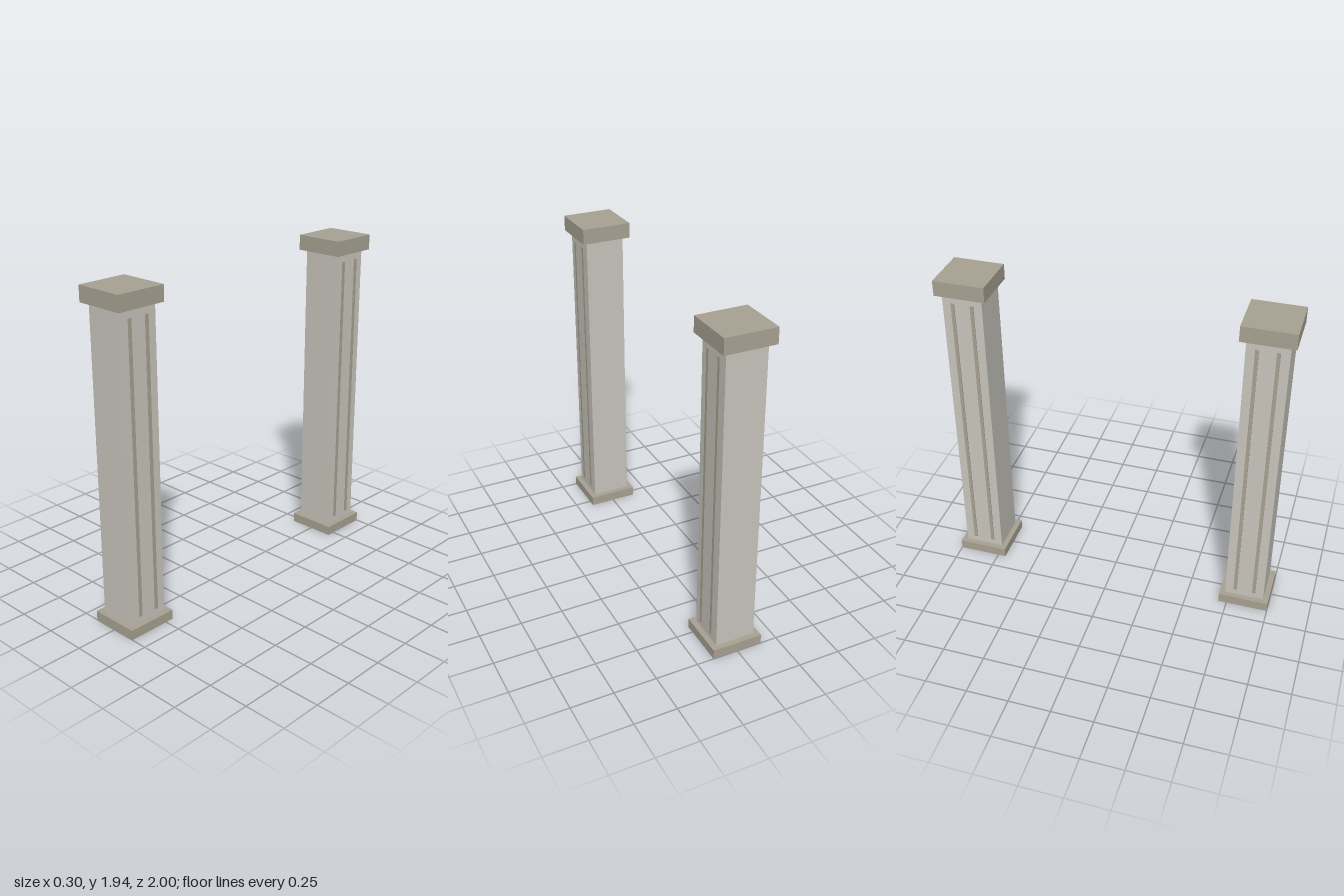
import * as THREE from 'three';

const paleStone = new THREE.MeshStandardMaterial({ name: 'paleStone', color: 0xc9c5bd });
const trimStone = new THREE.MeshStandardMaterial({ name: 'trimStone', color: 0xa8a292 });

// Box centred on x and z, spanning y0 to y1
function block(name, width, depth, y0, y1, material, x = 0, z = 0) {
  const mesh = new THREE.Mesh(new THREE.BoxGeometry(width, y1 - y0, depth), material);
  mesh.name = name;
  mesh.position.set(x, (y0 + y1) / 2, z);
  return mesh;
}

function createPillar(name) {
  const pillar = new THREE.Group();
  pillar.name = name;
  pillar.add(
    block('base', 0.3, 0.3, 0, 0.058, trimStone),
    block('shaft', 0.235, 0.235, 0.058, 1.845, paleStone),
    block('capital', 0.3, 0.3, 1.845, 1.936, trimStone)
  );
  // Two thin vertical strips on each side face
  for (const side of [-1, 1]) {
    for (const dz of [-0.057, 0.057]) {
      pillar.add(block(side > 0 ? 'leftStrip' : 'rightStrip', 0.008, 0.02, 0.097, 1.796, trimStone, side * 0.119, dz));
    }
  }
  return pillar;
}

export function createModel() {
  const model = new THREE.Group();
  model.name = 'pillarPair';
  const front = createPillar('frontPillar');
  const back = createPillar('backPillar');
  front.position.z = 0.85;
  back.position.z = -0.85;
  model.add(front, back);
  return model;
}
